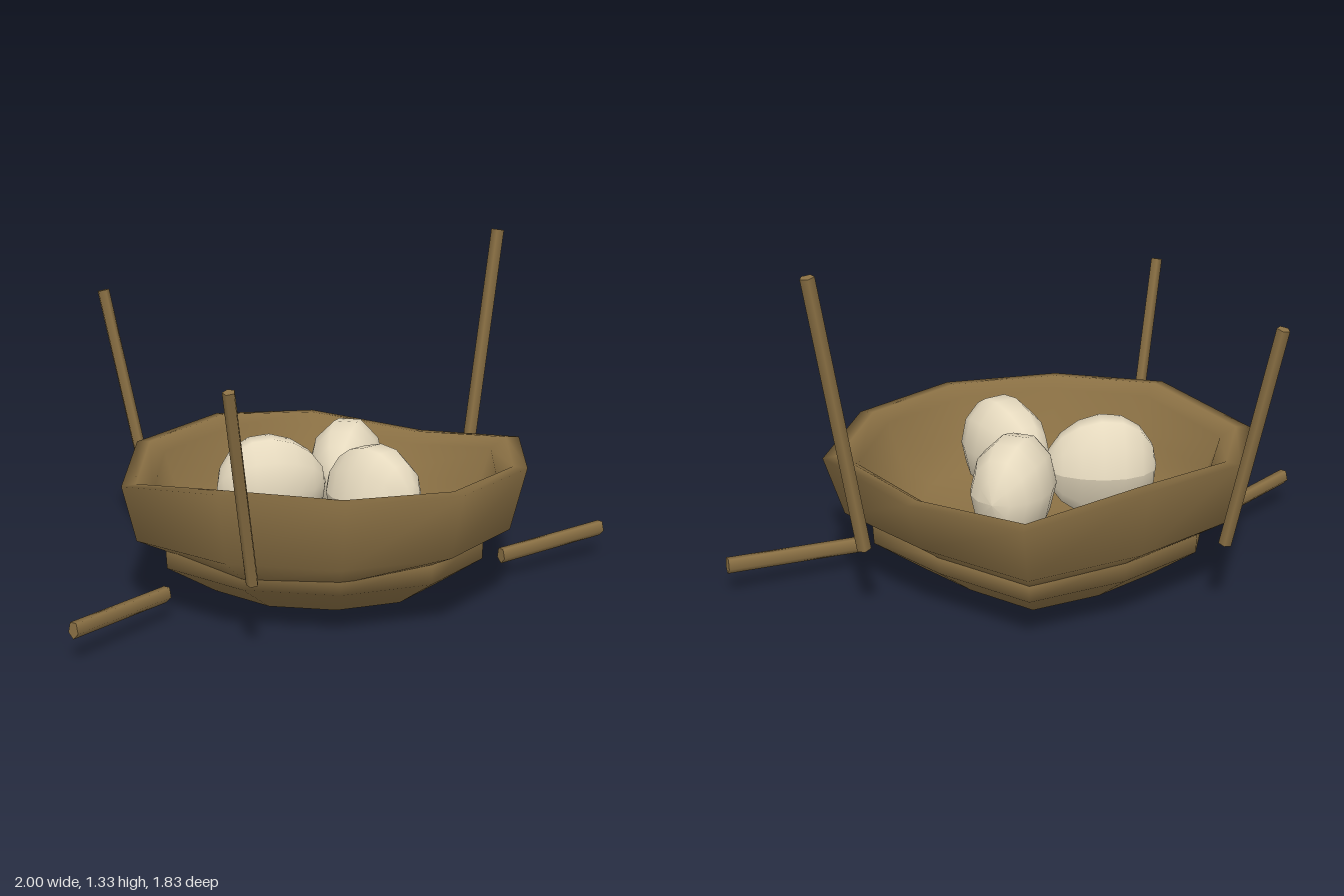
import * as THREE from 'three';

const twig = new THREE.MeshStandardMaterial({ color: 0x8a7044, side: THREE.DoubleSide });
twig.name = 'twig brown';
const shell = new THREE.MeshStandardMaterial({ color: 0xe6dabf });
shell.name = 'egg cream';

// Uneven ten-sided rim: x, height, z, lift of the underside
const RIM = [
  [-0.28, 0.52, -0.88, 0.01], [0.22, 0.49, -0.76, 0.01], [0.66, 0.535, -0.57, 0.03], [0.76, 0.54, -0.08, 0.08],
  [0.59, 0.545, 0.36, 0.03], [0.21, 0.555, 0.61, 0], [-0.25, 0.57, 0.64, -0.01], [-0.69, 0.51, 0.42, 0.02],
  [-0.8, 0.55, -0.08, 0.02], [-0.6, 0.575, -0.51, 0.02],
];
const CX = -0.025, CZ = -0.04;

// Skin rings of the rim outline; each row is [scale, height, rim height share, underside lift share, z shift]
function bowl(rows, name) {
  const n = RIM.length, pos = [], index = [];
  for (const [s, y, follow = 0, lift = 0, dz = 0] of rows) {
    for (const [x, h, z, l] of RIM) {
      pos.push(CX + (x - CX) * s, y + (h - 0.54) * follow + l * lift, CZ + dz + (z - CZ) * s);
    }
  }
  for (let j = 0; j < rows.length - 1; j++) {
    for (let i = 0; i < n; i++) {
      const a = j * n + i, b = j * n + (i + 1) % n;
      index.push(a, a + n, b, b, a + n, b + n);
    }
  }
  const g = new THREE.BufferGeometry();
  g.setAttribute('position', new THREE.Float32BufferAttribute(pos, 3));
  g.setIndex(index);
  g.computeVertexNormals();
  const m = new THREE.Mesh(g, twig);
  m.name = name;
  return m;
}

// Five-sided twig between two points
function stick(a, b, w, h, name) {
  const p = new THREE.Vector3(...a), q = new THREE.Vector3(...b);
  const g = new THREE.CylinderGeometry(0.5, 0.5, p.distanceTo(q), 5).rotateX(Math.PI / 2).scale(w, h, 1);
  const m = new THREE.Mesh(g, twig);
  m.position.copy(p).lerp(q, 0.5);
  m.lookAt(q);
  m.name = name;
  return m;
}

// Tall egg, long axis and blunt end pointing outward along (dx, dz)
function egg(x, z, dx, dz, name) {
  const g = new THREE.SphereGeometry(1, 10, 8).rotateX(Math.PI / 2);
  const p = g.attributes.position;
  for (let i = 0; i < p.count; i++) {
    const out = p.getZ(i), r = 1 + 0.1 * out;
    p.setXYZ(i, p.getX(i) * r * 0.15, p.getY(i) * r * 0.205, out * 0.215);
  }
  g.computeVertexNormals();
  const m = new THREE.Mesh(g, shell);
  m.position.set(x, 0.43, z);
  m.rotation.y = Math.atan2(dx, dz);
  m.name = name;
  return m;
}

export function createModel() {
  const nest = new THREE.Group();
  nest.name = 'nest';

  // Lower bowl
  nest.add(bowl([
    [0, 0], [0.28, 0, 0, 0, -0.04], [0.56, 0.05, 0, 0, -0.02], [0.79, 0.17], [0.795, 0.24, 0.2, 0.5], [0.74, 0.27, 0.2],
  ], 'lowerBowl'));

  // Upper bowl: outside, rounded rim, inner wall and floor
  nest.add(bowl([
    [0.77, 0.21, 0, 1], [0.925, 0.3, 0.1, 0, 0.02], [1, 0.54, 1], [0.93, 0.545, 1], [0.85, 0.505, 1],
    [0.79, 0.36, 0.3], [0.62, 0.27], [0.3, 0.23], [0, 0.22],
  ], 'upperBowl'));

  // Three eggs meeting in the middle
  nest.add(
    egg(0, -0.3, 0, -1, 'backEgg'),
    egg(-0.225, 0, -0.89, 0.45, 'rightEgg'),
    egg(0.185, 0.045, 0.84, 0.54, 'leftEgg'),
  );

  // Loose upright and low twigs
  nest.add(
    stick([-0.785, 0.28, -0.19], [-0.975, 1.13, -0.215], 0.05, 0.05, 'rightUprightTwig'),
    stick([0.41, 0.28, -0.735], [0.51, 1.33, -0.885], 0.055, 0.055, 'backUprightTwig'),
    stick([-0.105, 0.27, 0.705], [-0.125, 1.01, 0.9], 0.047, 0.047, 'frontUprightTwig'),
    stick([-0.525, 0.1, 0.41], [-0.705, 0.12, 0.91], 0.047, 0.068, 'frontLowTwig'),
    stick([0.63, 0.1, -0.34], [0.985, 0.12, -0.75], 0.047, 0.068, 'backLowTwig'),
  );
  return nest;
}
